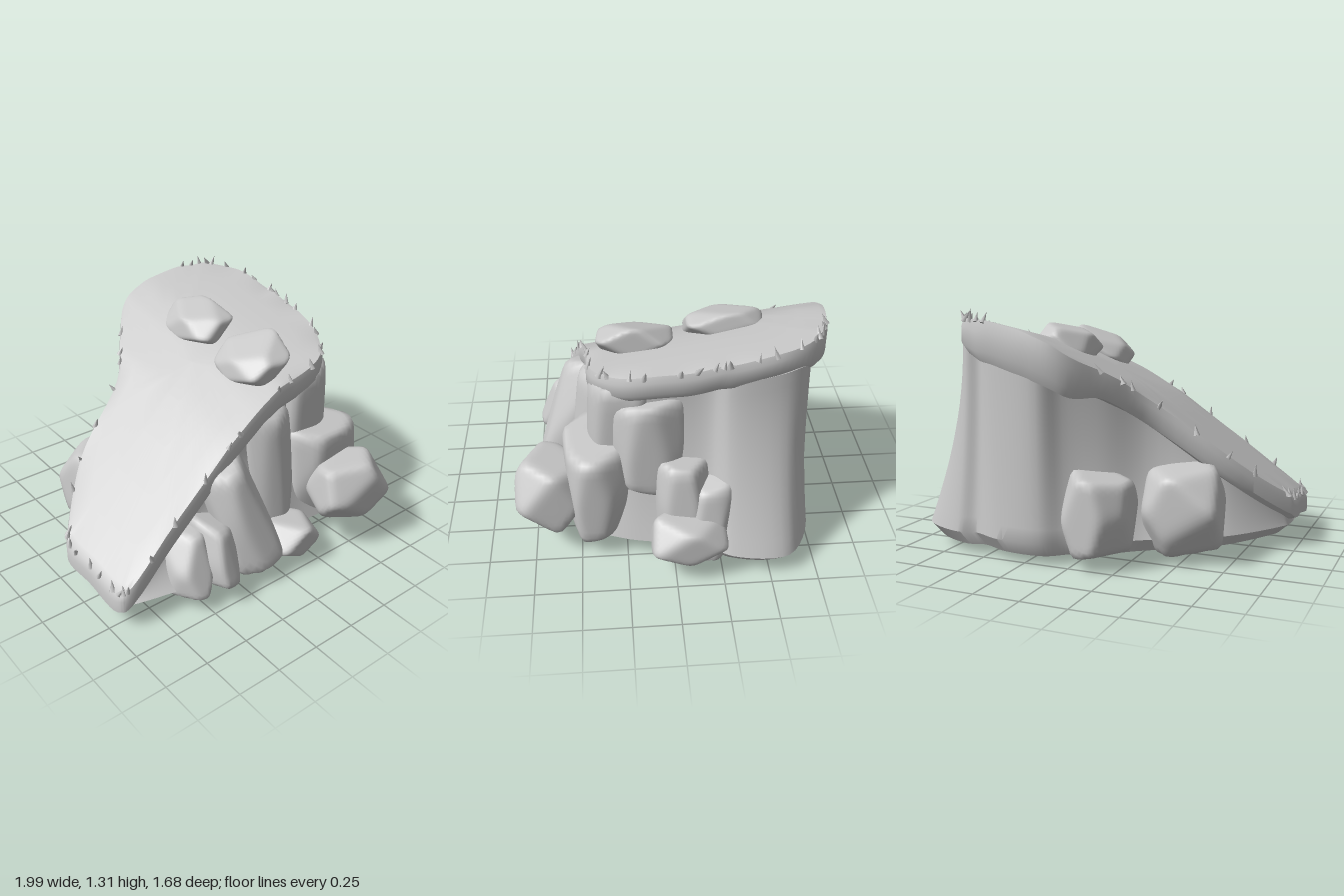
import * as THREE from 'three';
import { mergeVertices, mergeGeometries, toCreasedNormals } from 'three/addons/utils/BufferGeometryUtils.js';

const stone = new THREE.MeshStandardMaterial({ color: 0xc8c8c8 });
stone.name = 'grey stone';

function seeded(seed) {
  let s = seed * 7919 + 17;
  return () => (s = (s * 16807) % 2147483647) / 2147483647;
}

// Matching outlines [x, z], counter-clockwise from above: slab rim, upper wall, foot
const slabPts = [[-0.96, 0.53], [-0.93, 0.565], [-0.6, 0.53], [-0.2, 0.48], [0.2, 0.44], [0.5, 0.41], [0.65, 0.25],
  [0.72, 0], [0.73, -0.2], [0.73, -0.3], [0.71, -0.55], [0.61, -0.72], [0.52, -0.77], [0.4, -0.81], [0.15, -0.84],
  [0, -0.8], [-0.15, -0.62], [-0.32, -0.41], [-0.7, -0.23], [-0.96, 0.04], [-0.985, 0.09], [-0.975, 0.3]];
const wallPts = [[-0.92, 0.46], [-0.88, 0.5], [-0.6, 0.47], [-0.2, 0.42], [0.2, 0.38], [0.5, 0.35], [0.6, 0.22],
  [0.61, 0], [0.63, -0.2], [0.7, -0.28], [0.7, -0.56], [0.63, -0.67], [0.55, -0.66], [0.45, -0.73], [0.17, -0.76],
  [0.07, -0.66], [-0.1, -0.52], [-0.28, -0.35], [-0.66, -0.19], [-0.91, 0.05], [-0.94, 0.1], [-0.93, 0.28]];
const footPts = [[-0.94, 0.5], [-0.9, 0.53], [-0.62, 0.6], [-0.2, 0.66], [0.2, 0.56], [0.6, 0.53], [0.74, 0.28],
  [0.8, 0], [0.84, -0.18], [0.92, -0.3], [0.93, -0.6], [0.67, -0.74], [0.56, -0.72], [0.4, -0.78], [0.15, -0.78],
  [0.03, -0.7], [-0.15, -0.62], [-0.32, -0.5], [-0.68, -0.28], [-0.93, 0.05], [-0.95, 0.1], [-0.95, 0.3]];
const curve = (pts) => new THREE.CatmullRomCurve3(pts.map(([x, z]) => new THREE.Vector3(x, 0, z)), true);
const slabCurve = curve(slabPts), wallCurve = curve(wallPts), footCurve = curve(footPts);
const N = 132, CZ = -0.1;

// Ramp height: steep on the low side, nearly level on the high side
const ramp = [[-1, 0.28], [-0.6, 0.57], [-0.2, 0.86], [0.05, 1.0], [0.2, 1.07], [0.45, 1.12], [0.8, 1.16]];
function topY(x, z) {
  let i = 0;
  while (i < ramp.length - 2 && x > ramp[i + 1][0]) i++;
  const [x0, y0] = ramp[i], [x1, y1] = ramp[i + 1];
  return y0 + ((y1 - y0) * (x - x0)) / (x1 - x0) - 0.18 * z;
}
const thickness = (z) => 0.15 + 0.09 * THREE.MathUtils.smoothstep(-z, 0.6, 0.82);
const rimY = 0.12;
const floorY = (z) => 0.068 + 0.03 * z;

// Skin a stack of closed rings, running from bottom centre to top centre
function loft(rings, crease) {
  const pos = [], idx = [];
  rings.forEach((r) => r.forEach((p) => pos.push(p.x, p.y, p.z)));
  for (let i = 0; i < rings.length - 1; i++) {
    for (let j = 0; j < N; j++) {
      const k = (j + 1) % N, a = i * N + j, b = i * N + k, c = b + N, d = a + N;
      idx.push(a, b, c, a, c, d);
    }
  }
  const g = new THREE.BufferGeometry();
  g.setAttribute('position', new THREE.Float32BufferAttribute(pos, 3));
  g.setIndex(idx);
  return toCreasedNormals(g, crease);
}
const ring = (fn) => Array.from({ length: N }, (_, j) => fn(j / N));

function slabGeometry() {
  // [outline scale, share of thickness below the top surface]
  const profile = [[0.001, 1], [0.5, 1], [0.9, 1.03], [0.965, 0.95], [1.0, 0.7], [1.0, 0.25], [0.985, 0.02],
    [0.95, 0], [0.8, 0], [0.6, 0], [0.4, 0], [0.2, 0], [0.001, 0]];
  return loft(profile.map(([s, d]) => ring((t) => {
    const p = slabCurve.getPoint(t);
    const edge = s > 0.96 ? 0.004 * Math.sin(t * 88) : 0;
    const x = p.x * s, z = CZ + (p.z - CZ) * s;
    return new THREE.Vector3(x, topY(x, z) - d * thickness(z) + edge, z);
  })), 0.7);
}

function cliffGeometry() {
  // Underside, with a bevel up to the foot
  const rings = [0.001, 0.5, 0.94].map((s) => ring((t) => {
    const p = footCurve.getPoint(t), x = p.x * s, z = CZ + (p.z - CZ) * s;
    return new THREE.Vector3(x, floorY(z), z);
  }));
  // Flared wall
  for (let i = 0; i <= 12; i++) {
    const h = i / 12, w = 1 - Math.pow(1 - h, 1.7);
    rings.push(ring((t) => {
      const p = footCurve.getPoint(t).lerp(wallCurve.getPoint(t), w);
      p.y = rimY + h * Math.max(0.01, topY(p.x, p.z) - 0.8 * thickness(p.z) - rimY);
      return p;
    }));
  }
  rings.push(ring((t) => {
    const p = slabCurve.getPoint(t);
    return new THREE.Vector3(p.x * 0.001, topY(0, CZ) - 0.1, CZ + p.z * 0.001);
  }));
  return loft(rings, 0.6);
}

// Rounded, many-sided rock fitted to a box; optional leans with height and tilt along x
function rock(name, [x0, x1], [y0, y1], [z0, z1], seed, leanX = 0, leanZ = 0, tilt = 0) {
  const rnd = seeded(seed), planes = [];
  const axes = [[1, 0, 0], [-1, 0, 0], [0, 1, 0], [0, -1, 0], [0, 0, 1], [0, 0, -1]];
  const slim = Math.min(1, Math.min(x1 - x0, z1 - z0) / (y1 - y0));
  const jitter = () => (rnd() - 0.5) * 0.35;
  axes.forEach((a) => planes.push({
    n: new THREE.Vector3(a[0] + jitter(), a[1] + jitter(), a[2] + jitter()), o: 1 }));
  // Cut the corners
  for (let i = 0; i < 8; i++) {
    const n = new THREE.Vector3(i & 1 ? 1 : -1, i & 2 ? 1 : -1, i & 4 ? 1 : -1);
    n.x += rnd() - 0.5;
    n.y *= 0.7 + rnd() * 0.3;
    n.z += rnd() - 0.5;
    planes.push({ n, o: 1.03 + rnd() * 0.12 });
  }
  // Slim rocks get steeper sides, like columns
  planes.forEach(({ n }) => {
    if (Math.abs(n.y) < 1.01 && Math.hypot(n.x, n.z) > 0.6) n.y *= slim * slim;
    n.normalize();
  });
  let g = new THREE.IcosahedronGeometry(1, 9);
  g.deleteAttribute('normal');
  g.deleteAttribute('uv');
  g = mergeVertices(g, 1e-4);
  const p = g.attributes.position, v = new THREE.Vector3();
  for (let i = 0; i < p.count; i++) {
    v.fromBufferAttribute(p, i).normalize();
    let sum = 0;
    planes.forEach(({ n, o }) => { sum += Math.pow(Math.max(0, n.dot(v)) / o, 18); });
    v.multiplyScalar(Math.pow(sum, -1 / 18));
    p.setXYZ(i, v.x, v.y, v.z);
  }
  g.computeBoundingBox();
  const { min, max } = g.boundingBox;
  const fit = (a, lo, hi, b0, b1) => b0 + ((a - lo) / (hi - lo)) * (b1 - b0);
  for (let i = 0; i < p.count; i++) {
    const x = fit(p.getX(i), min.x, max.x, x0, x1), y = fit(p.getY(i), min.y, max.y, y0, y1);
    const dy = y - (y0 + y1) / 2;
    p.setXYZ(i, x + leanX * dy, y + tilt * (x - (x0 + x1) / 2),
      fit(p.getZ(i), min.z, max.z, z0, z1) + leanZ * dy);
  }
  g.computeVertexNormals();
  const m = new THREE.Mesh(g, stone);
  m.name = name;
  return m;
}

// Small pointed tufts along the rim
function tuftGeometry() {
  const rnd = seeded(5), parts = [];
  for (let i = 0; i < 48; i++) {
    const p = slabCurve.getPoint((i + rnd() * 0.9) / 48);
    if (p.z < -0.77 && p.x < 0.45) continue;
    const x = p.x * 0.985, z = CZ + (p.z - CZ) * 0.985, h = 0.045 + rnd() * 0.025;
    const g = new THREE.ConeGeometry(0.014 + rnd() * 0.006, h, 5);
    g.translate(0, h * 0.3, 0);
    g.rotateZ((rnd() - 0.5) * 1.1);
    g.rotateX((rnd() - 0.5) * 1.1);
    g.translate(x, topY(x, z) - 0.005, z);
    parts.push(g);
  }
  return mergeGeometries(parts);
}

export function createModel() {
  const model = new THREE.Group();
  model.name = 'rockRamp';
  const add = (name, geo) => {
    const m = new THREE.Mesh(geo, stone);
    m.name = name;
    model.add(m);
  };
  add('rampSlab', slabGeometry());
  add('cliffBody', cliffGeometry());
  add('rimTufts', tuftGeometry());
  model.add(
    // Front columns, low end to high end
    rock('frontColumn1', [-0.64, -0.38], [0.07, 0.4], [0.25, 0.66], 3, 0.25, -0.35),
    rock('frontColumn2', [-0.48, -0.25], [0.07, 0.46], [0.25, 0.71], 4, 0.1, -0.35),
    rock('frontColumn3', [-0.33, 0.01], [0.07, 0.72], [0.2, 0.66], 6, -0.2, -0.35),
    rock('frontColumn4', [-0.03, 0.3], [0.09, 0.95], [0.15, 0.52], 7, 0, -0.12),
    rock('frontColumn5', [0.22, 0.62], [0.1, 1.0], [0.08, 0.45], 8, 0.05, -0.05),
    rock('cornerColumn', [0.27, 0.77], [0.1, 0.67], [0.23, 0.58], 9, -0.05, 0),
    // Loose boulders at the foot
    rock('frontBoulder', [0.3, 0.74], [0.16, 0.53], [0.44, 0.84], 10),
    rock('footBoulder', [-0.01, 0.3], [0, 0.24], [0.42, 0.75], 11),
    rock('sideColumn', [0.4, 0.72], [0.3, 0.94], [-0.07, 0.31], 12, -0.05, 0),
    rock('sideBoulder', [0.7, 1.0], [0.09, 0.36], [-0.27, 0.13], 13),
    rock('sideBackBoulder', [0.55, 0.85], [0.08, 0.61], [-0.2, 0.1], 14, -0.15, 0),
    rock('sideFoot', [0.6, 0.88], [0.08, 0.55], [-0.31, -0.06], 15, -0.2, 0),
    rock('backBoulder1', [-0.71, -0.26], [0.04, 0.52], [-0.56, -0.1], 16),
    rock('backBoulder2', [-0.3, 0.06], [0.03, 0.5], [-0.81, -0.4], 17),
    // Stones resting on the ramp
    rock('topStone1', [0.05, 0.33], [1.04, 1.21], [-0.51, -0.09], 18, 0, 0, 0.3),
    rock('topStone2', [0.05, 0.38], [0.97, 1.15], [-0.03, 0.38], 19, 0, 0, 0.35),
  );
  return model;
}
